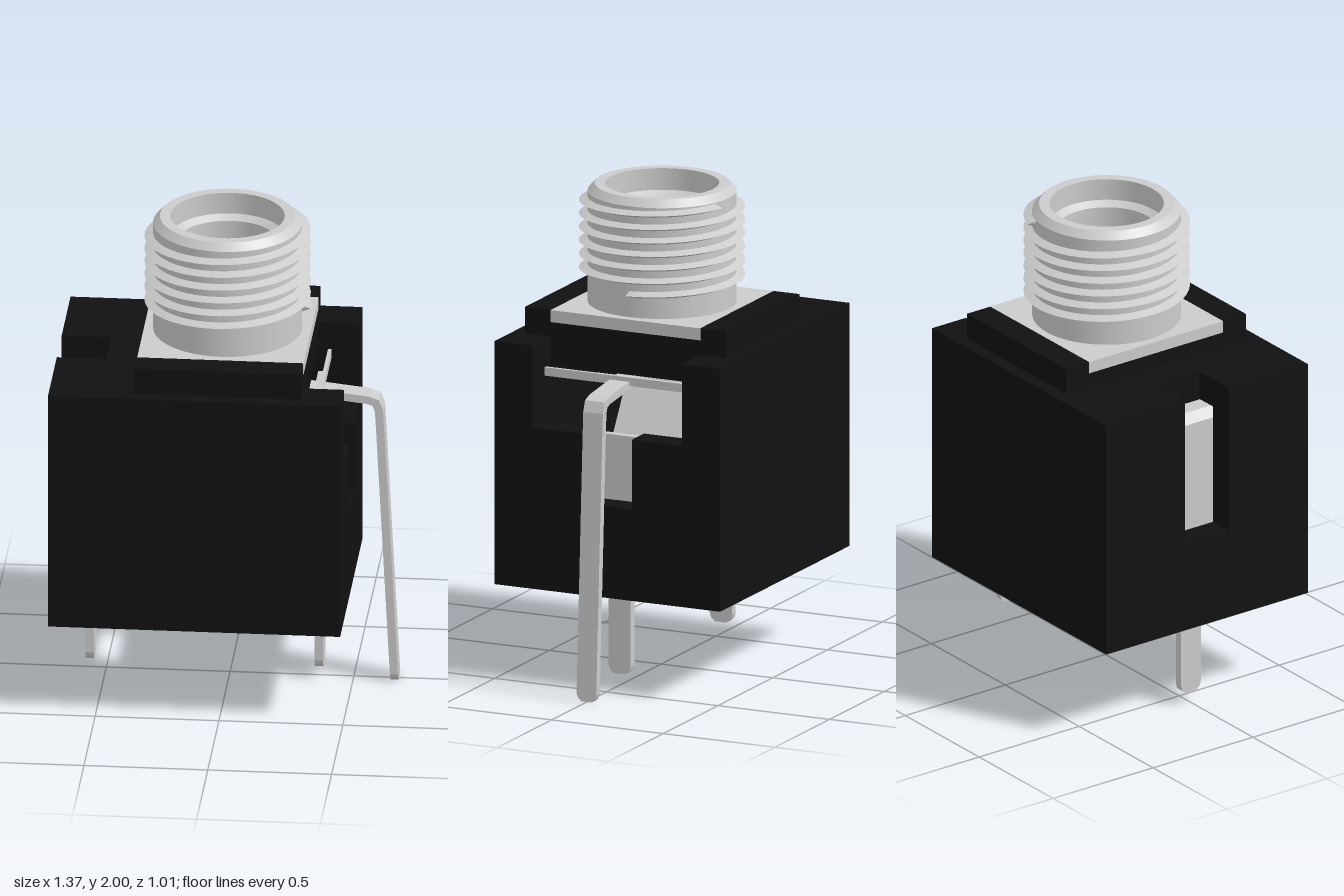
import * as THREE from 'three';

const metal = new THREE.MeshStandardMaterial({ color: 0xcccccc });
const metalTwoSided = new THREE.MeshStandardMaterial({ color: 0xcccccc, side: THREE.DoubleSide });
const black = new THREE.MeshStandardMaterial({ color: 0x111111 });
const CX = -0.01; // bushing axis

function add(group, name, geometry, material) {
  const mesh = new THREE.Mesh(geometry, material);
  mesh.name = name;
  group.add(mesh);
  return mesh;
}

// Box given by its limits on each axis
function box(x0, x1, y0, y1, z0, z1) {
  return new THREE.BoxGeometry(x1 - x0, y1 - y0, z1 - z0)
    .translate((x0 + x1) / 2, (y0 + y1) / 2, (z0 + z1) / 2);
}

const polygon = (pts) => new THREE.Shape(pts.map(([a, b]) => new THREE.Vector2(a, b)));
const extrude = (shape, depth) =>
  new THREE.ExtrudeGeometry(shape, { depth, bevelEnabled: false, curveSegments: 24 });

// Outline in z and y, thick along x
const sidePlate = (pts, x0, x1) =>
  extrude(polygon(pts), x1 - x0).rotateY(Math.PI / 2).translate(x0, 0, 0);

// Outline in x and z, thick along y
const slab = (shape, y0, y1) =>
  extrude(shape, y1 - y0).rotateX(Math.PI / 2).translate(0, y1, 0);

function withBore(pts, r) {
  const shape = polygon(pts);
  shape.holes.push(new THREE.Path().absarc(CX, 0, r, 0, Math.PI * 2, true));
  return shape;
}

// Bent sheet-metal strip following a path in x and y
function strip(path, thickness, width) {
  const p = path.map(([x, y]) => new THREE.Vector2(x, y));
  const side = (s) => p.map((q, i) => {
    const normal = (a, b) => new THREE.Vector2(a.y - b.y, b.x - a.x).normalize();
    const n1 = normal(p[Math.max(i - 1, 0)], p[Math.max(i, 1)]);
    const n2 = normal(p[Math.min(i, p.length - 2)], p[Math.min(i + 1, p.length - 1)]);
    const m = n1.clone().add(n2).normalize();
    return q.clone().addScaledVector(m, s * thickness / 2 / m.dot(n1));
  });
  const outline = new THREE.Shape([...side(1), ...side(-1).reverse()]);
  return extrude(outline, width).translate(0, 0, -width / 2);
}

// Flat pin with a rounded lower end
function pin(x0, x1, bottom, top, half) {
  const r = half * 0.7;
  return sidePlate([[-half, top], [-half, bottom + r], [-half * 0.85, bottom + r * 0.4],
    [-half * 0.5, bottom], [half * 0.5, bottom], [half * 0.85, bottom + r * 0.4],
    [half, bottom + r], [half, top]], x0, x1);
}

// Helical ridge of triangular section
function thread(y0, pitch, turns, rIn, rOut, half) {
  const steps = Math.round(turns * 48);
  const pos = [], index = [];
  for (let i = 0; i <= steps; i++) {
    const a = (i / steps) * turns * Math.PI * 2;
    const y = y0 + pitch * turns * i / steps;
    // each flank keeps its own vertices so the crest stays sharp
    for (const [r, dy] of [[rIn, -half], [rOut, 0], [rOut, 0], [rIn, half]])
      pos.push(r * Math.cos(a), y + dy, -r * Math.sin(a));
    if (i < steps) for (const k of [0, 2]) {
      const b = i * 4 + k;
      index.push(b, b + 4, b + 1, b + 1, b + 4, b + 5);
    }
  }
  const e = steps * 4;
  index.push(0, 1, 3, e, e + 3, e + 1);
  const g = new THREE.BufferGeometry();
  g.setAttribute('position', new THREE.Float32BufferAttribute(pos, 3));
  g.setIndex(index);
  g.computeVertexNormals();
  return g;
}

function createHousing() {
  const g = new THREE.Group();
  g.name = 'housing';
  for (const s of [-1, 1]) {
    add(g, 'longWall', box(-0.69, 0.49, 0.39, 1.4, s * 0.45 - 0.055, s * 0.45 + 0.055), black);
    add(g, 'topRib', box(-0.345, 0.325, 1.4, 1.51, s * 0.3925 - 0.0575, s * 0.3925 + 0.0575), black);
    add(g, 'innerRib', box(0.325, 0.345, 0.45, 1.0, s * 0.2575 - 0.1375, s * 0.2575 + 0.1375), black);
  }
  // Wall with a narrow slot open at the top
  add(g, 'slottedWall', sidePlate([[-0.395, 0.39], [0.395, 0.39], [0.395, 1.4], [0.11, 1.4],
    [0.11, 0.77], [-0.11, 0.77], [-0.11, 1.4], [-0.395, 1.4]], -0.69, -0.58), black);
  // Wall with a T-shaped opening
  add(g, 'openWall', sidePlate([[-0.395, 0.39], [0.395, 0.39], [0.395, 1.4], [0.335, 1.4],
    [0.335, 1.06], [0.11, 1.06], [0.11, 0.77], [-0.11, 0.77], [-0.11, 1.06], [-0.335, 1.06],
    [-0.335, 1.4], [-0.395, 1.4]], 0.38, 0.49), black);
  // Roof, notched at both ends
  add(g, 'roof', slab(withBore([[-0.58, -0.395], [0.38, -0.395], [0.38, -0.335], [0.325, -0.335],
    [0.325, 0.335], [0.38, 0.335], [0.38, 0.395], [-0.58, 0.395], [-0.58, 0.11], [-0.49, 0.11],
    [-0.49, -0.11], [-0.58, -0.11]], 0.205), 1.28, 1.4), black);
  const seat = [[-0.345, -0.335], [0.325, -0.335], [0.325, 0.335], [-0.345, 0.335]];
  add(g, 'raisedSeat', slab(withBore(seat, 0.205), 1.4, 1.46), black);
  return g;
}

function createBushing() {
  const g = new THREE.Group();
  g.name = 'bushing';
  const plate = [[-0.345, -0.335], [0.327, -0.335], [0.327, 0.335], [-0.345, 0.335]];
  add(g, 'basePlate', slab(withBore(plate, 0.205), 1.46, 1.51), metal);
  // Separate surfaces keep the edges of the turned part sharp
  const profile = [[0.3, 1.5], [0.3, 1.97], [0.272, 2], [0.23, 2], [0.23, 1.91], [0.2, 1.89], [0.2, 1.28]];
  for (let i = 0; i < profile.length - 1; i++) {
    const pts = [profile[i], profile[i + 1]].map(([r, y]) => new THREE.Vector2(r, y));
    add(g, 'barrel', new THREE.LatheGeometry(pts, 64).translate(CX, 0, 0), metalTwoSided);
  }
  add(g, 'thread', thread(1.605, 0.056, 6.2, 0.295, 0.335, 0.016).translate(CX, 0, 0), metalTwoSided);
  return g;
}

function createContacts() {
  const g = new THREE.Group();
  g.name = 'contacts';
  // Spring contact: upright sheet folded over into a sloping leaf
  add(g, 'springContact', strip([[-0.562, 0.41], [-0.562, 1.225], [-0.54, 1.252], [-0.48, 1.25],
    [-0.17, 0.75], [-0.215, 0.47]], 0.035, 0.65), metal);
  add(g, 'springPin', pin(-0.58, -0.545, 0.05, 0.45, 0.05), metal);
  // Fixed contact behind the T-shaped opening
  add(g, 'fixedContact', box(0.345, 0.379, 0.41, 1.04, -0.335, 0.335), metal);
  add(g, 'fixedContactBar', box(0.365, 0.38, 1.25, 1.285, -0.335, 0.335), metal);
  add(g, 'fixedContactTab', box(0.345, 0.366, 1.25, 1.28, -0.12, 0.12), metal);
  add(g, 'fixedPin', pin(0.345, 0.38, 0.05, 0.45, 0.05), metal);
  // Ground terminal: arm leaving the opening, then a long slanted leg
  add(g, 'groundArm', strip([[0.22, 1.268], [0.56, 1.231], [0.592, 1.22], [0.605, 1.185],
    [0.61, 1.1]], 0.033, 0.088), metal);
  const leg = add(g, 'groundLeg', pin(-0.0165, 0.0165, -1.1, 0, 0.044), metal);
  leg.position.set(0.61, 1.101, 0);
  leg.rotation.z = 0.052;
  return g;
}

export function createModel() {
  const model = new THREE.Group();
  model.name = 'panelJack';
  model.add(createHousing(), createBushing(), createContacts());
  return model;
}
